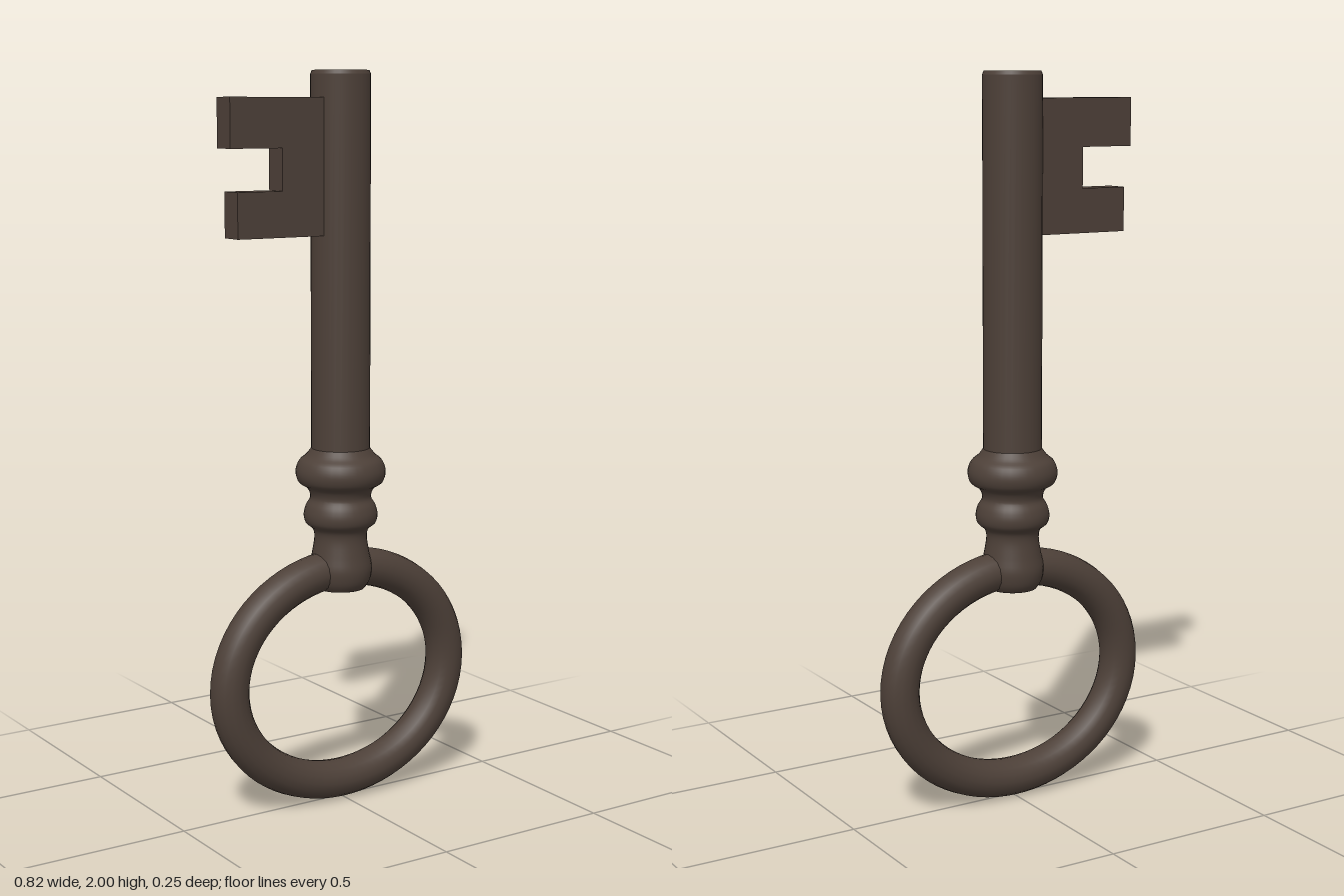
import * as THREE from 'three';

export function createModel() {
  const key = new THREE.Group();
  key.name = 'key';
  const iron = new THREE.MeshStandardMaterial({ color: 0x4d4038 });
  iron.name = 'dark iron';

  const add = (name, geometry) => {
    const mesh = new THREE.Mesh(geometry, iron);
    mesh.name = name;
    key.add(mesh);
    return mesh;
  };

  // Round shaft with a slightly eased top edge
  add('shaft', new THREE.CylinderGeometry(0.08, 0.08, 1.05, 32)).position.y = 1.465;
  add('shaftTip', new THREE.CylinderGeometry(0.076, 0.08, 0.01, 32)).position.y = 1.995;

  // Turned collar: foot gripping the ring, small bead, large bead
  const spline = new THREE.SplineCurve([
    [0.066, 0.603], [0.08, 0.625], [0.086, 0.66], [0.079, 0.7], [0.072, 0.745],
    [0.077, 0.77], [0.096, 0.787], [0.101, 0.81], [0.095, 0.835], [0.083, 0.858],
    [0.092, 0.884], [0.115, 0.9], [0.123, 0.928], [0.114, 0.957], [0.094, 0.975], [0.079, 0.995],
  ].map(([r, y]) => new THREE.Vector2(r, y)));
  const profile = [new THREE.Vector2(0, 0.6), ...spline.getPoints(60)];
  add('collar', new THREE.LatheGeometry(profile, 32));

  // Oval ring handle, swept with a constant round section
  const oval = [];
  for (let i = 0; i < 24; i++) {
    const a = (i / 24) * Math.PI * 2;
    oval.push(new THREE.Vector3(0.355 * Math.cos(a), 0.357 + 0.302 * Math.sin(a), 0));
  }
  const path = new THREE.CatmullRomCurve3(oval, true);
  add('ringHandle', new THREE.TubeGeometry(path, 72, 0.053, 16, true));

  // Flat bit with one notch between two teeth
  const outline = new THREE.Shape([
    [-0.04, 1.57], [-0.04, 1.93], [-0.355, 1.93], [-0.355, 1.8],
    [-0.2, 1.8], [-0.2, 1.69], [-0.335, 1.69], [-0.335, 1.57],
  ].map(([x, y]) => new THREE.Vector2(x, y)));
  const bit = new THREE.ExtrudeGeometry(outline, { depth: 0.067, bevelEnabled: false });
  add('bit', bit).position.z = -0.035;

  return key;
}
